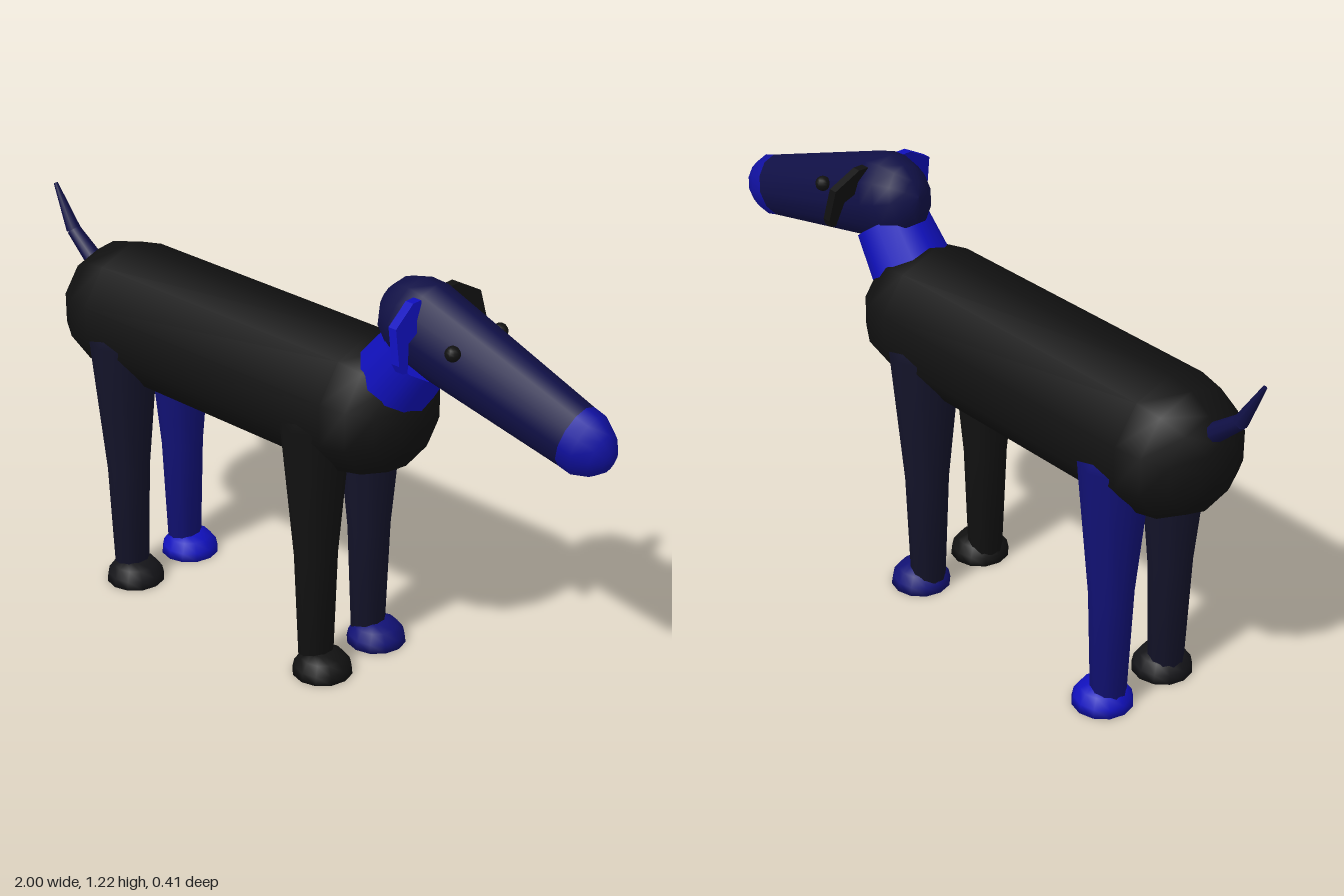
import * as THREE from 'three';

const V2 = (x, y) => new THREE.Vector2(x, y);
const V3 = (x, y, z = 0) => new THREE.Vector3(x, y, z);

function paint(name, color) {
  const m = new THREE.MeshStandardMaterial({ color });
  m.name = name;
  return m;
}

// Surface of revolution from [radius, height] pairs, bottom to top
function lathe(profile, segments) {
  return new THREE.LatheGeometry(profile.map(([r, y]) => V2(r, y)), segments);
}

// Tapered cylinder between two points
function limb(a, b, rA, rB, segments) {
  const dir = b.clone().sub(a);
  const g = new THREE.CylinderGeometry(rB, rA, dir.length(), segments);
  g.applyQuaternion(new THREE.Quaternion().setFromUnitVectors(V3(0, 1), dir.clone().normalize()));
  const mid = a.clone().add(b).multiplyScalar(0.5);
  return g.translate(mid.x, mid.y, mid.z);
}

export function createModel() {
  const root = new THREE.Group();
  root.name = 'dog';

  const black = paint('black', 0x111111);
  const charcoal = paint('charcoal', 0x141418);
  const darkNavy = paint('dark navy', 0x131329);
  const navy = paint('navy', 0x101046);
  const midBlue = paint('mid blue', 0x111174);
  const blue = paint('blue', 0x1010a0);
  const brightBlue = paint('bright blue', 0x1010bc);

  const add = (name, geometry, material, parent = root) => {
    const mesh = new THREE.Mesh(geometry, material);
    mesh.name = name;
    parent.add(mesh);
    return mesh;
  };

  // Barrel body lying along x
  const body = new THREE.CapsuleGeometry(0.196, 0.89, 4, 10);
  body.rotateZ(Math.PI / 2).translate(-0.24, 0.805, 0);
  add('body', body, black);

  // Legs and domed feet
  const legs = [
    ['frontRight', 0.122, 0.15, 1, black, black],
    ['frontLeft', 0.122, 0.15, -1, darkNavy, midBlue],
    ['backRight', -0.612, -0.595, 1, darkNavy, charcoal],
    ['backLeft', -0.612, -0.595, -1, midBlue, brightBlue],
  ];
  const legProfile = [[0, 0.03], [0.049, 0.03], [0.061, 0.36], [0.098, 0.765], [0.07, 0.788], [0, 0.79]];
  const footProfile = [[0, 0], [0.085, 0], [0.08, 0.025], [0.062, 0.05], [0.034, 0.063], [0, 0.068]];
  for (const [name, x, footX, side, legPaint, footPaint] of legs) {
    const leg = add(name + 'Leg', lathe(legProfile, 10), legPaint);
    leg.position.set(x, 0, side * 0.108);
    const foot = add(name + 'Foot', lathe(footProfile, 12), footPaint);
    foot.position.set(footX, 0, side * 0.112);
  }

  // Neck
  add('neck', limb(V3(0.24, 0.83), V3(0.383, 1.02), 0.122, 0.102, 12), brightBlue);

  // Head and muzzle share one sloping axis and are narrowed sideways
  const head = new THREE.Group();
  head.name = 'head';
  head.position.set(0.407, 1.09, 0);
  head.rotation.z = -1.865;
  head.scale.z = 0.82;
  root.add(head);
  add('skull', lathe([
    [0, -0.145], [0.045, -0.135], [0.088, -0.107], [0.115, -0.06], [0.125, -0.01], [0.09, 0.5],
  ], 12), navy, head);
  add('muzzle', lathe([
    [0.09, 0.5], [0.089, 0.54], [0.065, 0.585], [0.034, 0.611], [0, 0.618],
  ], 12), blue, head);

  // Folded ears, drawn in the z-y plane and slanted forward towards the tip
  const earOutline = [
    [0.06, 1.19], [0.09, 1.19], [0.165, 1.147], [0.174, 1.055],
    [0.165, 1.033], [0.148, 1.03], [0.128, 1.1], [0.06, 1.13],
  ];
  for (const side of [1, -1]) {
    const shape = new THREE.Shape(earOutline.map(([z, y]) => V2(-side * z, y)));
    const ear = new THREE.ExtrudeGeometry(shape, { depth: 0.025, bevelEnabled: false });
    ear.rotateY(Math.PI / 2);
    const p = ear.attributes.position;
    for (let i = 0; i < p.count; i++) {
      p.setX(i, p.getX(i) + 0.408 + (1.19 - p.getY(i)) * 0.22);
    }
    ear.computeVertexNormals();
    add(side > 0 ? 'rightEar' : 'leftEar', ear, side > 0 ? brightBlue : black);

    const eye = new THREE.SphereGeometry(0.021, 10, 8).translate(0.566, 1.096, side * 0.093);
    add(side > 0 ? 'rightEye' : 'leftEye', eye, black);
  }

  // Two-part tail
  const bend = V3(-0.926, 0.975);
  add('tailBase', limb(V3(-0.8, 0.87), bend, 0.03, 0.02, 8), navy);
  add('tailTip', limb(bend, V3(-0.994, 1.1), 0.021, 0.006, 8), navy);

  return root;
}
